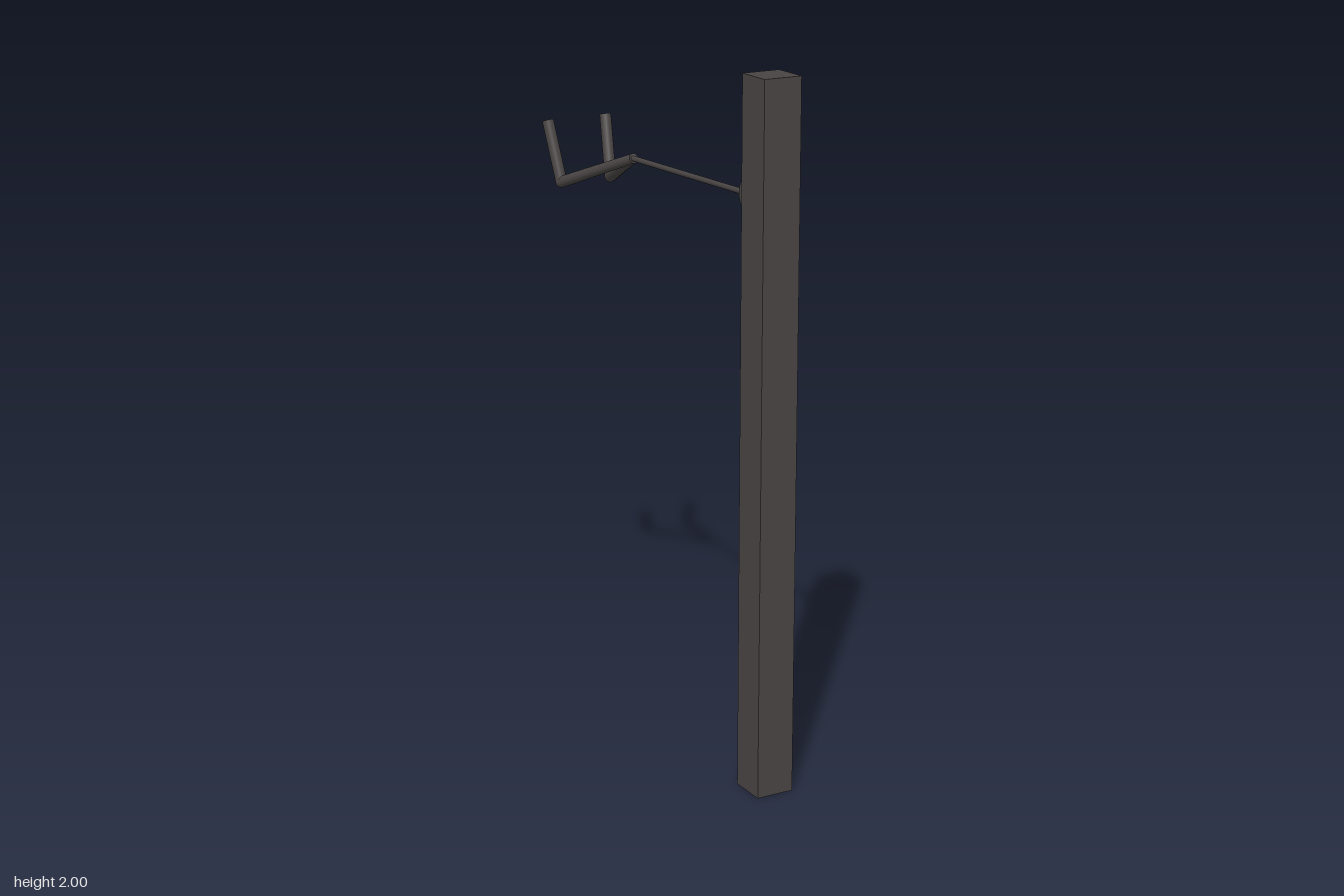
import * as THREE from 'three';

const V = (x, y, z) => new THREE.Vector3(x, y, z);

// Cylinder running from a to b, with a radius at each end
function bar(name, a, b, ra, rb, material, sides = 16) {
  const dir = b.clone().sub(a);
  const mesh = new THREE.Mesh(new THREE.CylinderGeometry(rb, ra, dir.length(), sides), material);
  mesh.name = name;
  mesh.position.copy(a).add(b).multiplyScalar(0.5);
  mesh.quaternion.setFromUnitVectors(V(0, 1, 0), dir.normalize());
  return mesh;
}

export function createModel() {
  const model = new THREE.Group();
  model.name = 'wallHanger';
  const darkMetal = new THREE.MeshStandardMaterial({ color: 0x484443 });
  darkMetal.name = 'darkMetal';
  const turn = -THREE.MathUtils.degToRad(19.8);

  // Square upright post
  const post = new THREE.Mesh(new THREE.BoxGeometry(0.111, 2, 0.111), darkMetal);
  post.name = 'post';
  post.position.set(0.507, 1, 0.205);
  post.rotation.y = turn;
  model.add(post);

  // Pivot disc standing on edge, half sunk towards the post
  const pivot = new THREE.Group();
  pivot.name = 'pivot';
  pivot.position.set(0.433, 1.667, 0.178);
  pivot.rotation.y = turn;
  const disc = new THREE.Mesh(new THREE.CylinderGeometry(0.055, 0.055, 0.034, 32), darkMetal);
  disc.name = 'pivotDisc';
  disc.rotation.x = Math.PI / 2;
  pivot.add(disc);
  model.add(pivot);

  // Thin rod reaching out to the fork
  const joint = V(-0.203, 1.645, -0.053);
  model.add(bar('rod', V(0.433, 1.667, 0.178), joint, 0.008, 0.008, darkMetal));

  // Two prongs, each sloping down and then turning up
  const prongs = [
    ['back', V(-0.447, 1.531, -0.225), V(-0.5, 1.706, -0.263)],
    ['front', V(-0.505, 1.531, -0.075), V(-0.564, 1.706, -0.083)],
  ];
  for (const [side, elbow, tip] of prongs) {
    const prong = new THREE.Group();
    prong.name = side + 'Prong';
    prong.add(bar(side + 'Arm', joint, elbow, 0.0145, 0.017, darkMetal));
    prong.add(bar(side + 'Hook', elbow, tip, 0.017, 0.017, darkMetal));
    const knuckle = new THREE.Mesh(new THREE.SphereGeometry(0.017, 16, 12), darkMetal);
    knuckle.name = side + 'Elbow';
    knuckle.position.copy(elbow);
    prong.add(knuckle);
    model.add(prong);
  }
  return model;
}
